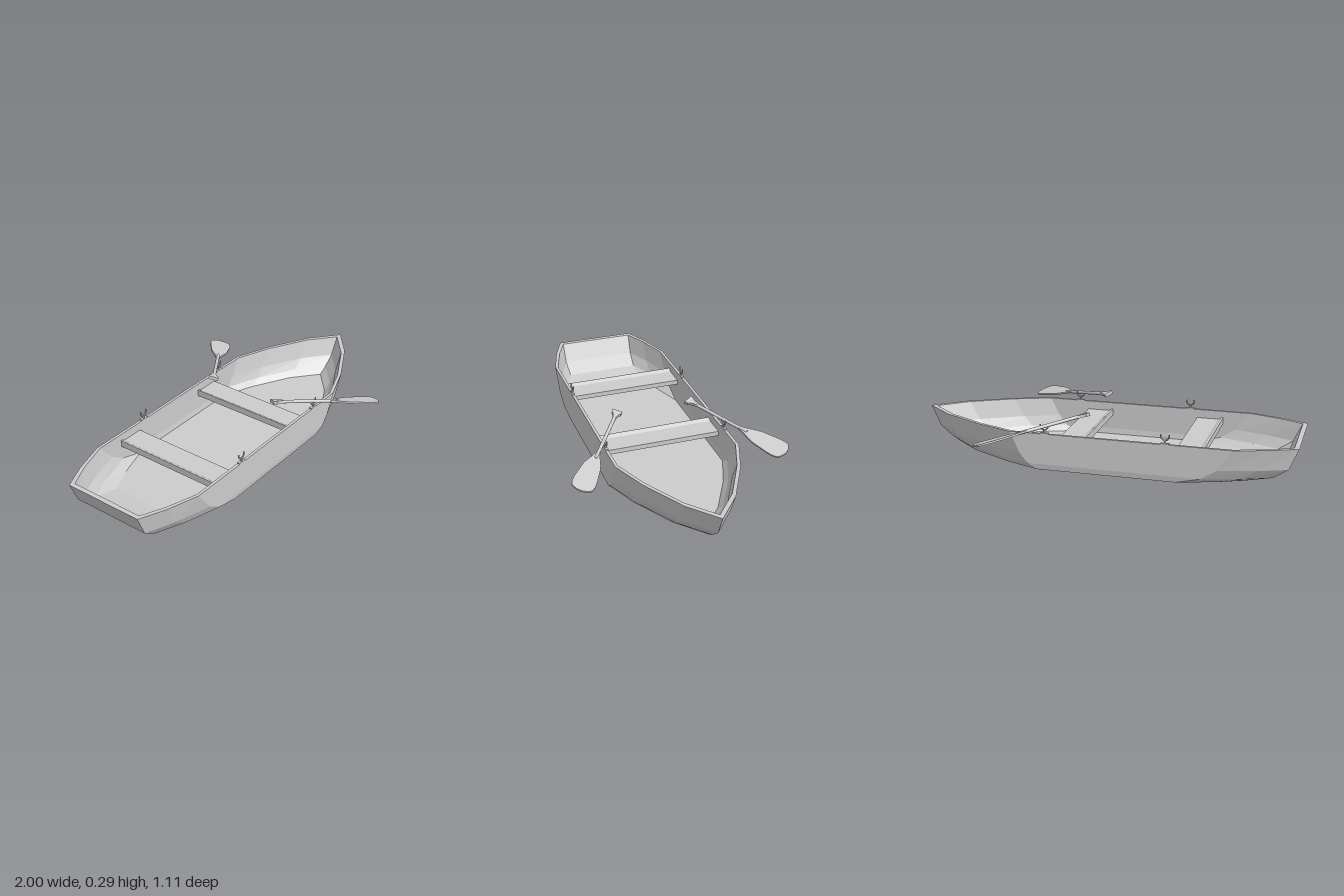
import * as THREE from 'three';

const grey = new THREE.MeshStandardMaterial({ color: 0xcccccc });
grey.name = 'light grey';

function mesh(name, geometry) {
  const m = new THREE.Mesh(geometry, grey);
  m.name = name;
  return m;
}

// Horizontal outline of the hull at one height: stern corners, shoulders, pointed bow.
function outline({ y, stern, aft, fore, bow, sternHalf, half }) {
  const lerp = THREE.MathUtils.lerp;
  const side = [
    [stern, sternHalf],
    [lerp(stern, aft, 0.43), lerp(sternHalf, half, 0.52)],
    [aft, half],
    [fore, half],
    [lerp(fore, bow, 0.34), half * 0.77],
    [lerp(fore, bow, 0.74), half * 0.39],
  ];
  const port = side.map(([x, z]) => [x, y, z]);
  const starboard = side.map(([x, z]) => [x, y, -z]).reverse();
  return [...port, [bow, y, 0], ...starboard];
}

// Skin a series of closed outlines, capped at both ends, with flat facets.
function loft(loops) {
  const pos = [];
  const tri = (...p) => p.forEach((v) => pos.push(...v));
  const n = loops[0].length;
  for (let k = 0; k < loops.length - 1; k++) {
    const a = loops[k], b = loops[k + 1];
    for (let i = 0; i < n; i++) {
      const j = (i + 1) % n;
      tri(a[i], a[j], b[j]);
      tri(a[i], b[j], b[i]);
    }
  }
  const first = loops[0], last = loops[loops.length - 1];
  for (let i = 0; i < n; i++) {
    const j = (i + 1) % n;
    tri([0, first[0][1], 0], first[j], first[i]);
    tri([0, last[0][1], 0], last[i], last[j]);
  }
  const g = new THREE.BufferGeometry();
  g.setAttribute('position', new THREE.Float32BufferAttribute(pos, 3));
  g.computeVertexNormals();
  return g;
}

// Hull shell: up the outside, over the gunwale, down the inside to the floor.
function hull() {
  const levels = [
    { y: 0, stern: -0.74, aft: -0.42, fore: 0.29, bow: 0.84, sternHalf: 0.2, half: 0.315 },
    { y: 0.03, stern: -0.88, aft: -0.54, fore: 0.34, bow: 0.89, sternHalf: 0.205, half: 0.32 },
    { y: 0.08, stern: -0.955, aft: -0.62, fore: 0.38, bow: 0.95, sternHalf: 0.21, half: 0.32 },
    { y: 0.19, stern: -1, aft: -0.7, fore: 0.43, bow: 1, sternHalf: 0.212, half: 0.32 },
  ];
  const inner = levels.map((l, i) => ({
    ...l,
    y: i === 3 ? l.y : l.y + 0.014,
    stern: l.stern + 0.025,
    aft: l.aft + 0.005,
    fore: l.fore - 0.01,
    bow: l.bow - 0.035,
    sternHalf: l.sternHalf - 0.012,
    half: l.half - 0.015,
  })).reverse();
  return mesh('hull', loft([...levels, ...inner].map(outline)));
}

// Bench plank with a low sloped lip along its aft edge.
function bench(x) {
  const s = new THREE.Shape([
    [0, -0.025], [0.14, -0.025], [0.14, 0], [0.025, 0], [0.008, 0.01], [0, 0.01],
  ].map(([a, b]) => new THREE.Vector2(a, b)));
  const g = new THREE.ExtrudeGeometry(s, { depth: 0.62, bevelEnabled: false });
  g.translate(x, 0.145, -0.31);
  return mesh('bench', g);
}

// Rowlock: base plate, pin and open U-shaped fork.
function rowlock(x, z) {
  const g = new THREE.Group();
  g.name = 'rowlock';
  const base = mesh('rowlockBase', new THREE.BoxGeometry(0.045, 0.006, 0.016));
  base.position.y = 0.002;
  const pin = mesh('rowlockPin', new THREE.CylinderGeometry(0.005, 0.005, 0.024, 8));
  pin.position.y = 0.012;
  const fork = mesh('rowlockFork', new THREE.TorusGeometry(0.02, 0.004, 6, 12, Math.PI));
  fork.rotation.z = Math.PI;
  fork.position.y = 0.04;
  g.add(base, pin, fork);
  for (const s of [-1, 1]) {
    const tip = mesh('rowlockTip', new THREE.CylinderGeometry(0.0035, 0.004, 0.01, 6));
    tip.position.set(s * 0.02, 0.044, 0);
    g.add(tip);
  }
  g.position.set(x, 0.19, z);
  return g;
}

// Oar laid along its own x axis, then turned to rest in the rowlock.
function oar(side) {
  const start = new THREE.Vector3(0.055, 0.273, side * 0.19);
  const end = new THREE.Vector3(0.55, 0.166, side * 0.527);
  const length = start.distanceTo(end);
  const g = new THREE.Group();
  g.name = 'oar';

  const shaft = mesh('oarShaft', new THREE.CylinderGeometry(0.009, 0.009, 0.34, 10));
  shaft.rotation.z = -Math.PI / 2;
  shaft.position.x = 0.2;

  const flat = (name, shape, depth) => {
    const geo = new THREE.ExtrudeGeometry(shape, { depth, bevelEnabled: false, curveSegments: 8 });
    geo.translate(0, 0, -depth / 2);
    return mesh(name, geo);
  };

  const grip = new THREE.Shape();
  grip.moveTo(0, -0.026);
  grip.lineTo(0.018, -0.024);
  grip.quadraticCurveTo(0.03, -0.01, 0.06, -0.008);
  grip.lineTo(0.06, 0.008);
  grip.quadraticCurveTo(0.03, 0.01, 0.018, 0.024);
  grip.lineTo(0, 0.026);

  const L = length, neck = L - 0.285;
  const blade = new THREE.Shape();
  blade.moveTo(neck, -0.01);
  blade.bezierCurveTo(neck + 0.06, -0.02, neck + 0.07, -0.045, L - 0.13, -0.05);
  blade.bezierCurveTo(L - 0.08, -0.058, L - 0.05, -0.06, L - 0.025, -0.05);
  blade.quadraticCurveTo(L + 0.012, 0, L - 0.025, 0.05);
  blade.bezierCurveTo(L - 0.05, 0.06, L - 0.08, 0.058, L - 0.13, 0.05);
  blade.bezierCurveTo(neck + 0.07, 0.045, neck + 0.06, 0.02, neck, 0.01);

  g.add(shaft, flat('oarGrip', grip, 0.016), flat('oarBlade', blade, 0.009));

  const along = end.clone().sub(start).normalize();
  const normal = new THREE.Vector3(0.28, 0.95, side * -0.1);
  normal.addScaledVector(along, -normal.dot(along)).normalize();
  const across = normal.clone().cross(along);
  g.quaternion.setFromRotationMatrix(new THREE.Matrix4().makeBasis(along, across, normal));
  g.position.copy(start);
  return g;
}

export function createModel() {
  const boat = new THREE.Group();
  boat.name = 'rowingBoat';
  boat.add(hull(), bench(-0.545), bench(0.063));
  for (const side of [-1, 1]) {
    for (const x of [-0.365, 0.25]) boat.add(rowlock(x, side * 0.312));
    boat.add(oar(side));
  }
  return boat;
}
